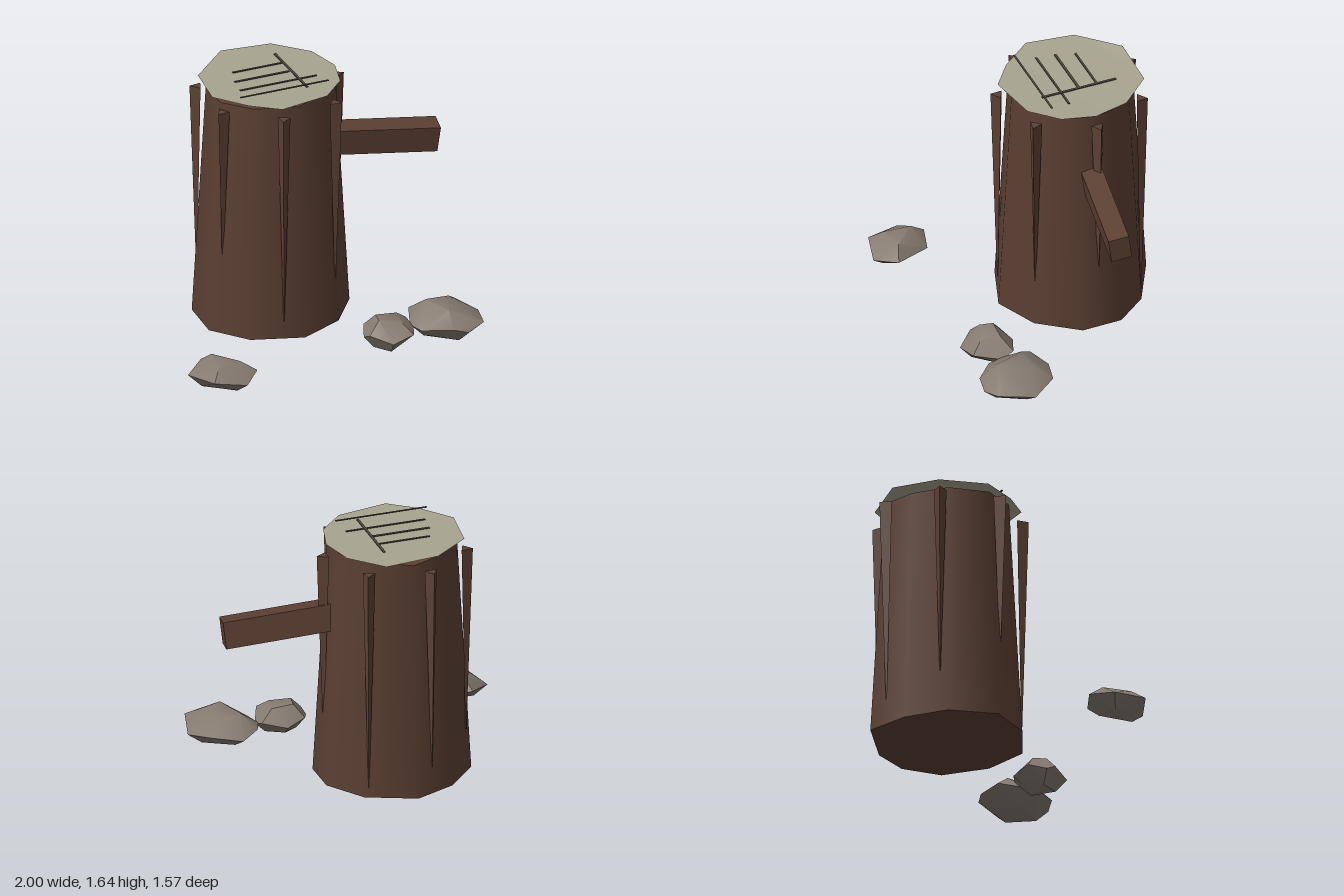
import * as THREE from 'three';
import { toCreasedNormals } from 'three/addons/utils/BufferGeometryUtils.js';
import { ConvexGeometry } from 'three/addons/geometries/ConvexGeometry.js';

const material = (name, color, side = THREE.FrontSide) => {
  const m = new THREE.MeshStandardMaterial({ color, side });
  m.name = name;
  return m;
};

export function createModel() {
  const bark = material('bark brown', 0x5c4033);
  const wood = material('cut wood', 0xa8a490, THREE.DoubleSide);
  const grain = material('dark grain', 0x4c483c);
  const stone = material('stone grey', 0x857a70);

  const model = new THREE.Group();
  model.name = 'treeStump';
  const add = (name, geometry, mat, parent = model) => {
    const mesh = new THREE.Mesh(geometry, mat);
    mesh.name = name;
    parent.add(mesh);
    return mesh;
  };
  const cx = -0.1, cz = -0.28;

  // Trunk: ten-sided cylinder with an uneven outline that narrows upwards
  const outline = [
    [-0.08, 0.21], [0.2, 0.09], [0.385, -0.16], [0.385, -0.42], [0.21, -0.63],
    [-0.09, -0.79], [-0.36, -0.66], [-0.56, -0.44], [-0.585, -0.12], [-0.4, 0.1],
  ];
  const trunk = new THREE.CylinderGeometry(1, 1, 1, 10);
  const p = trunk.attributes.position;
  for (let i = 0; i < p.count; i++) {
    const x = p.getX(i), z = p.getZ(i), top = p.getY(i) > 0;
    let px = cx, pz = cz;
    if (Math.hypot(x, z) > 0.5) {
      const k = (Math.round(Math.atan2(x, z) / (Math.PI / 5)) + 10) % 10;
      const s = top ? 0.82 : 1;
      px += (outline[k][0] - cx) * s;
      pz += (outline[k][1] - cz) * s;
    }
    p.setXYZ(i, px, top ? 1.593 + 0.03 * px : 0.022 + 0.008 * Math.sin(px * 9 + pz * 5), pz);
  }
  add('trunk', trunk, bark);

  // Cut face: thin irregular sheet with one raised corner
  const rim = [
    [-0.25, -0.7], [0.09, -0.7], [0.28, -0.5], [0.335, -0.27], [0.28, -0.06],
    [0.12, 0.1], [-0.21, 0.16], [-0.38, 0.03], [-0.54, -0.17], [-0.5, -0.48],
  ];
  const cut = new THREE.ShapeGeometry(new THREE.Shape(rim.map(([x, z]) => new THREE.Vector2(x, -z))));
  cut.rotateX(-Math.PI / 2);
  const c = cut.attributes.position;
  for (let i = 0; i < c.count; i++) {
    c.setY(i, c.getZ(i) < -0.6 && c.getX(i) < 0 ? 1.632 : 1.612);
  }
  cut.computeVertexNormals();
  add('cutFace', cut, wood);

  // Grain lines on the cut face: x, z, y, size in x, size in z
  const lines = new THREE.Group();
  lines.name = 'grainLines';
  model.add(lines);
  for (const [x, z, y, w, d] of [
    [-0.13, -0.402, 1.628, 0.34, 0.013],
    [-0.155, -0.283, 1.626, 0.37, 0.016],
    [-0.095, -0.162, 1.626, 0.52, 0.013],
    [-0.11, -0.036, 1.645, 0.6, 0.012],
    [0.043, -0.28, 1.63, 0.016, 0.5],
  ]) {
    add('grainLine', new THREE.BoxGeometry(w, 0.005, d), grain, lines).position.set(x, y, z);
  }

  // Bark ridges: three-sided spikes pointing down, evenly spaced round the trunk
  const ridges = new THREE.Group();
  ridges.name = 'barkRidges';
  model.add(ridges);
  [0.36, 0.3, 0.14, 0.5, 0.3, 0.2, 0.06].forEach((tip, i) => {
    const a = (i / 7) * Math.PI * 2, h = 1.545 - tip;
    const spike = new THREE.CylinderGeometry(0.045, 0.004, h, 3).toNonIndexed();
    spike.computeVertexNormals();
    const ridge = add('barkRidge', spike, bark, ridges);
    ridge.position.set(cx + Math.cos(a) * 0.455, tip + h / 2, cz + Math.sin(a) * 0.455);
    ridge.rotation.y = Math.PI / 2 - a + 0.25 * Math.sin(i * 2.3);
  });

  // Branch stub: slanted and slightly rolled beam
  const beam = new THREE.BoxGeometry(0.83, 0.175, 0.132);
  beam.translate(-0.415, 0, 0);
  const branch = add('branch', beam, bark);
  branch.position.set(0.975, 1.055, -0.16);
  branch.rotation.set(0.14, -0.145, -0.095, 'YZX');

  // Rocks: faceted hulls from a wide middle ring and smaller top and bottom rings
  const rock = (name, ring, height) => {
    const mx = ring.reduce((s, q) => s + q[0], 0) / ring.length;
    const mz = ring.reduce((s, q) => s + q[1], 0) / ring.length;
    const points = [];
    ring.forEach(([x, z], i) => {
      const at = (s, y) => points.push(new THREE.Vector3(mx + (x - mx) * s, y, mz + (z - mz) * s));
      at(1, height * (i % 2 ? 0.6 : 0.45));
      if (i % 2) at(0.5, height * (0.95 + 0.05 * Math.sin(i * 2)));
      else at(0.6, 0.008 + 0.012 * (i % 3));
    });
    add(name, toCreasedNormals(new ConvexGeometry(points), 0.75), stone);
  };
  rock('leftSmallRock', [
    [0.205, 0.47], [0.25, 0.36], [0.38, 0.31], [0.53, 0.37],
    [0.55, 0.45], [0.48, 0.62], [0.33, 0.645], [0.22, 0.53],
  ], 0.2);
  rock('leftLargeRock', [
    [0.53, 0.44], [0.59, 0.28], [0.71, 0.21], [0.9, 0.26], [1, 0.42],
    [0.94, 0.65], [0.82, 0.69], [0.72, 0.68], [0.56, 0.55],
  ], 0.215);
  rock('rightRock', [
    [-1, 0.5], [-0.86, 0.38], [-0.71, 0.42], [-0.6, 0.66], [-0.72, 0.78], [-0.92, 0.73],
  ], 0.19);

  return model;
}
